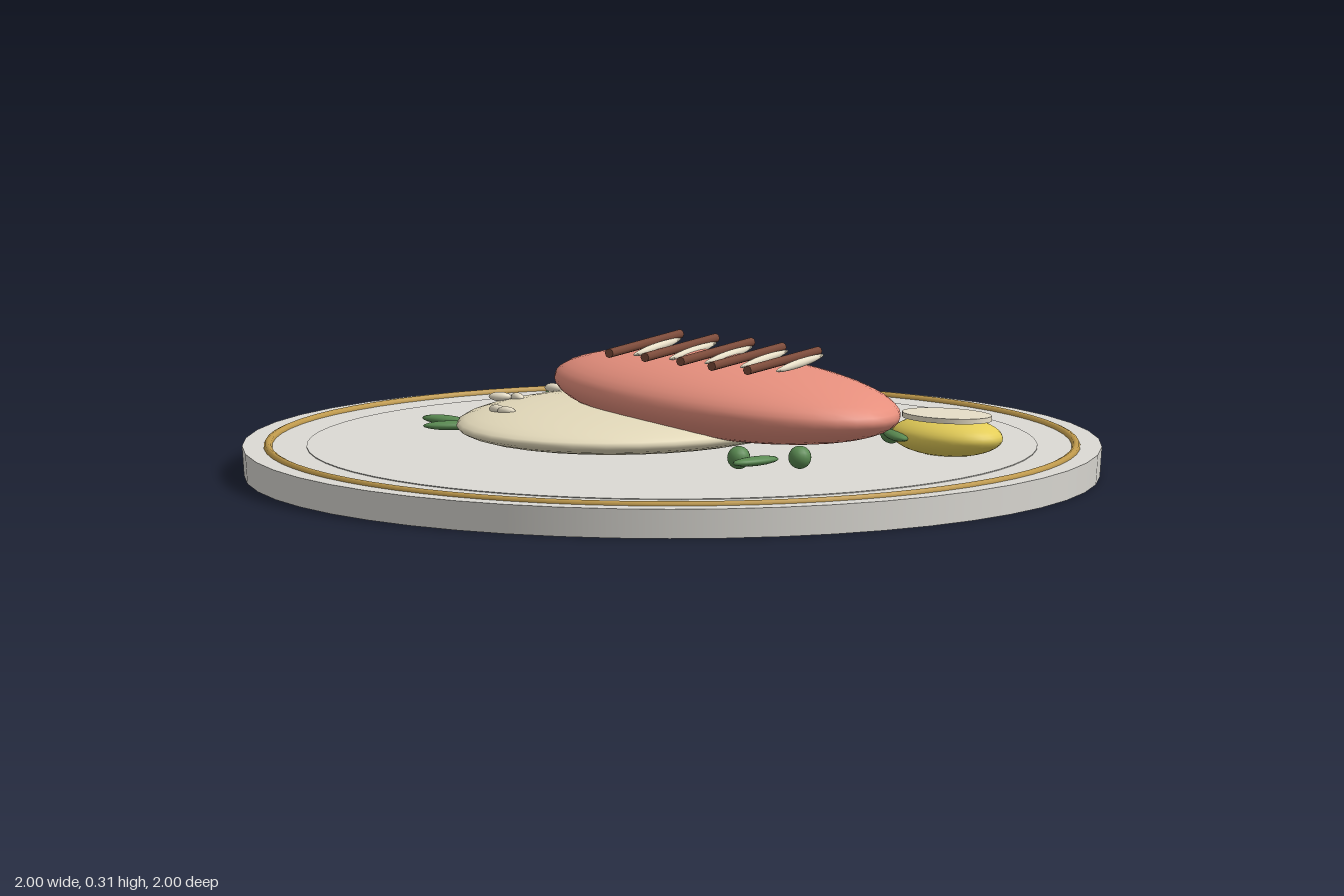
import * as THREE from 'three';

const mat = (name, color) => {
  const m = new THREE.MeshStandardMaterial({ color });
  m.name = name;
  return m;
};

export function createModel() {
  const root = new THREE.Group();
  root.name = 'platedFish';

  const china = mat('china', 0xdcdad4);
  const gold = mat('gold', 0xc09a4c);
  const mash = mat('mash', 0xe4dabb);
  const salmon = mat('salmon', 0xe68f7d);
  const char = mat('char', 0x7c4b3a);
  const cream = mat('cream', 0xe8dfc8);
  const green = mat('green', 0x5a8a52);
  const rind = mat('rind', 0xe4cd58);

  const add = (name, geo, material, pos, rot = [0, 0, 0], parent = root) => {
    const m = new THREE.Mesh(geo, material);
    m.name = name;
    m.position.set(...pos);
    m.rotation.set(...rot);
    parent.add(m);
    return m;
  };
  const ellipsoid = (rx, ry, rz, w = 32, h = 20) =>
    new THREE.SphereGeometry(1, w, h).scale(rx, ry, rz);
  const group = (name) => {
    const g = new THREE.Group();
    g.name = name;
    root.add(g);
    return g;
  };

  // Plate with a gilt ring and a faintly raised well
  add('plate', new THREE.CylinderGeometry(1, 0.995, 0.07, 48), china, [0, 0.035, 0]);
  add('plateWell', new THREE.CylinderGeometry(0.85, 0.85, 0.004, 64), china, [0, 0.07, 0]);
  add('giltRing', new THREE.TorusGeometry(0.94, 0.01, 8, 72), gold, [0, 0.07, 0], [Math.PI / 2, 0, 0]);

  // Bed under the fish, sprinkled with grains
  add('bed', ellipsoid(0.385, 0.052, 0.452), mash, [-0.115, 0.121, 0]);
  const grains = group('grains');
  [[-0.19, -0.39], [-0.07, -0.33], [-0.305, -0.285], [0.06, -0.3], [-0.36, -0.21],
    [-0.32, -0.195], [-0.375, -0.16], [-0.425, -0.1], [-0.38, -0.12], [-0.44, 0.085],
    [-0.4, 0.07], [-0.32, 0.25], [-0.285, 0.26]].forEach(([x, z], i) => {
    add('grain', ellipsoid(0.027, 0.011, 0.013, 10, 8), cream, [x, 0.157, z], [0, (i % 5 - 2) * 0.25, 0], grains);
  });

  // Fillet, sloping gently toward its left end
  add('fillet', ellipsoid(0.484, 0.093, 0.25, 40, 24), salmon, [0.148, 0.2, -0.02], [0, -0.04, -0.035]);

  // Grill marks with pale streaks beside them
  const marks = group('grillMarks');
  for (let i = 0; i < 5; i++) {
    const x = -0.085 + i * 0.105;
    const bar = new THREE.CylinderGeometry(0.011, 0.011, 0.35, 8).rotateX(Math.PI / 2);
    add('grillMark', bar, char, [x, 0.303, i < 3 ? -0.005 : 0.012], [0, 0.17, 0], marks);
    add('paleStreak', ellipsoid(0.009, 0.01, 0.14, 8, 12), cream, [x + 0.014, 0.293, -0.035], [0, 0.25, 0], marks);
  }

  // Lemon half with its cut face up
  const lemon = group('lemon');
  add('lemonRind', ellipsoid(0.147, 0.047, 0.097), rind, [0.582, 0.114, -0.293], [0, 0, 0], lemon);
  add('lemonFlesh', new THREE.CylinderGeometry(1, 1, 0.012, 32).scale(0.118, 1, 0.077),
    cream, [0.582, 0.16, -0.293], [0, 0, 0], lemon);

  // Peas and herb leaves
  const greens = group('greens');
  [[-0.51, -0.215], [0.44, -0.265], [0.52, 0.185], [0.41, 0.275]].forEach(([x, z]) =>
    add('pea', new THREE.SphereGeometry(0.027, 16, 12), green, [x, 0.113, z], [0, 0, 0], greens));
  [[-0.495, 0.22, 0], [-0.43, 0.28, 0.75], [0.475, 0.295, 1.35], [0.485, -0.225, -0.6]].forEach(([x, z, yaw]) =>
    add('leaf', ellipsoid(0.068, 0.011, 0.022, 14, 10), green, [x, 0.113, z], [0, yaw, 0], greens));

  return root;
}
